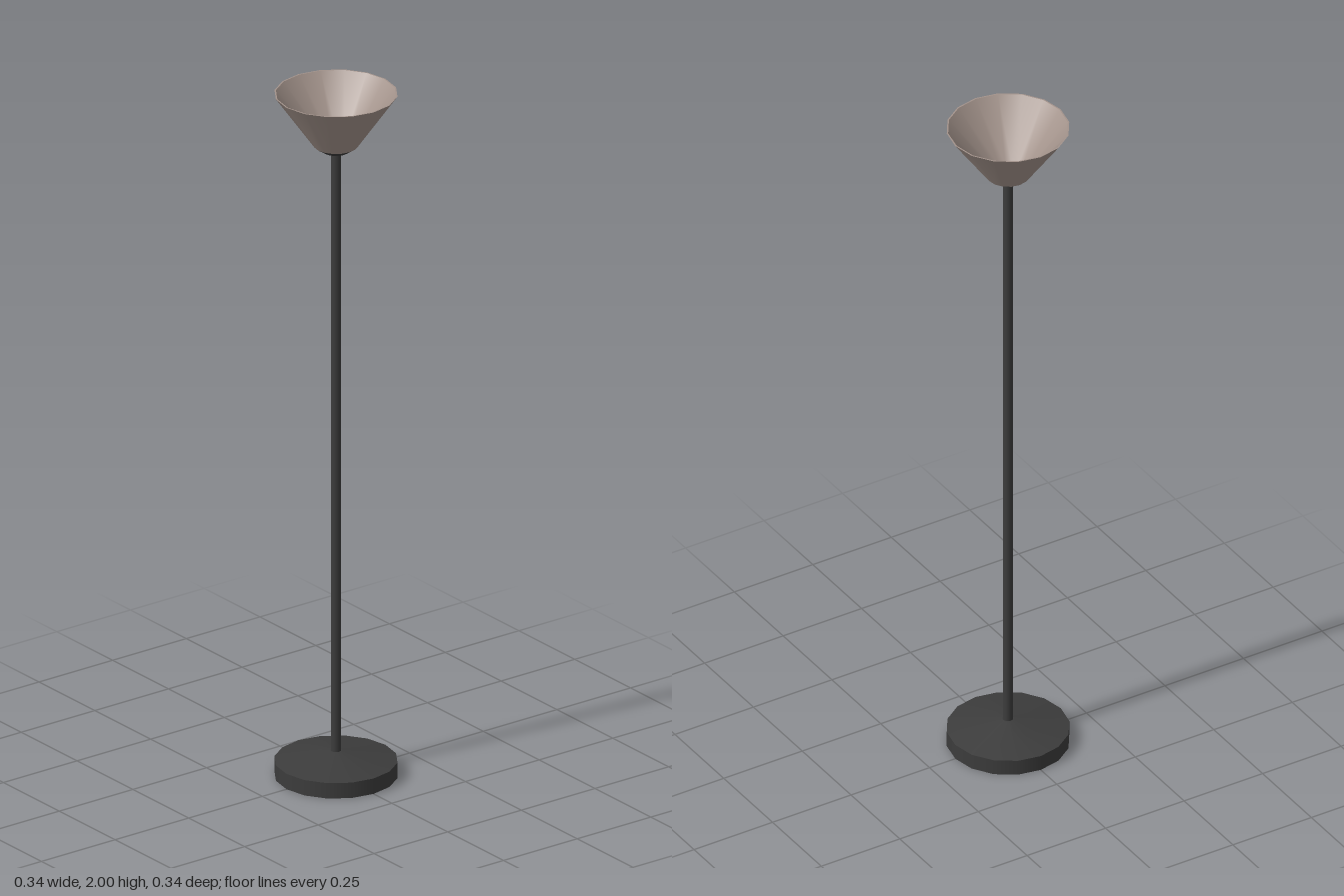
import * as THREE from 'three';

const SIDES = 16;

export function createModel() {
  const lamp = new THREE.Group();
  lamp.name = 'floorLamp';
  const dark = new THREE.MeshStandardMaterial({ color: 0x3c3c3c });
  const taupe = new THREE.MeshStandardMaterial({ color: 0xa3938b });
  const inner = new THREE.MeshStandardMaterial({ color: 0xa3938b, side: THREE.BackSide });

  // Upright round section between heights y0 and y1
  function round(name, rBottom, rTop, y0, y1, material, open = false, sides = SIDES) {
    const geometry = new THREE.CylinderGeometry(rTop, rBottom, y1 - y0, sides, 1, open);
    const mesh = new THREE.Mesh(geometry, material);
    mesh.name = name;
    mesh.position.y = (y0 + y1) / 2;
    lamp.add(mesh);
  }

  // Weighted base with a shallow conical top
  round('baseDisc', 0.168, 0.168, 0, 0.045, dark);
  round('baseCone', 0.168, 0.016, 0.045, 0.072, dark);

  // Pole and the flared holder under the shade
  round('pole', 0.014, 0.014, 0.06, 1.84, dark);
  round('shadeHolder', 0.034, 0.06, 1.83, 1.847, dark);

  // Open shade: outer wall, inner wall and the thin rim joining them
  round('shadeOuter', 0.06, 0.168, 1.847, 2, taupe, true);
  round('shadeInner', 0.046, 0.164, 1.85, 2, inner, true);
  const rim = new THREE.Mesh(new THREE.RingGeometry(0.164, 0.168, SIDES), taupe);
  rim.name = 'shadeRim';
  rim.rotation.x = -Math.PI / 2;
  rim.position.y = 2;
  lamp.add(rim);

  // Dark floor inside the shade
  round('shadeFloor', 0.046, 0.046, 1.846, 1.85, dark);

  return lamp;
}
